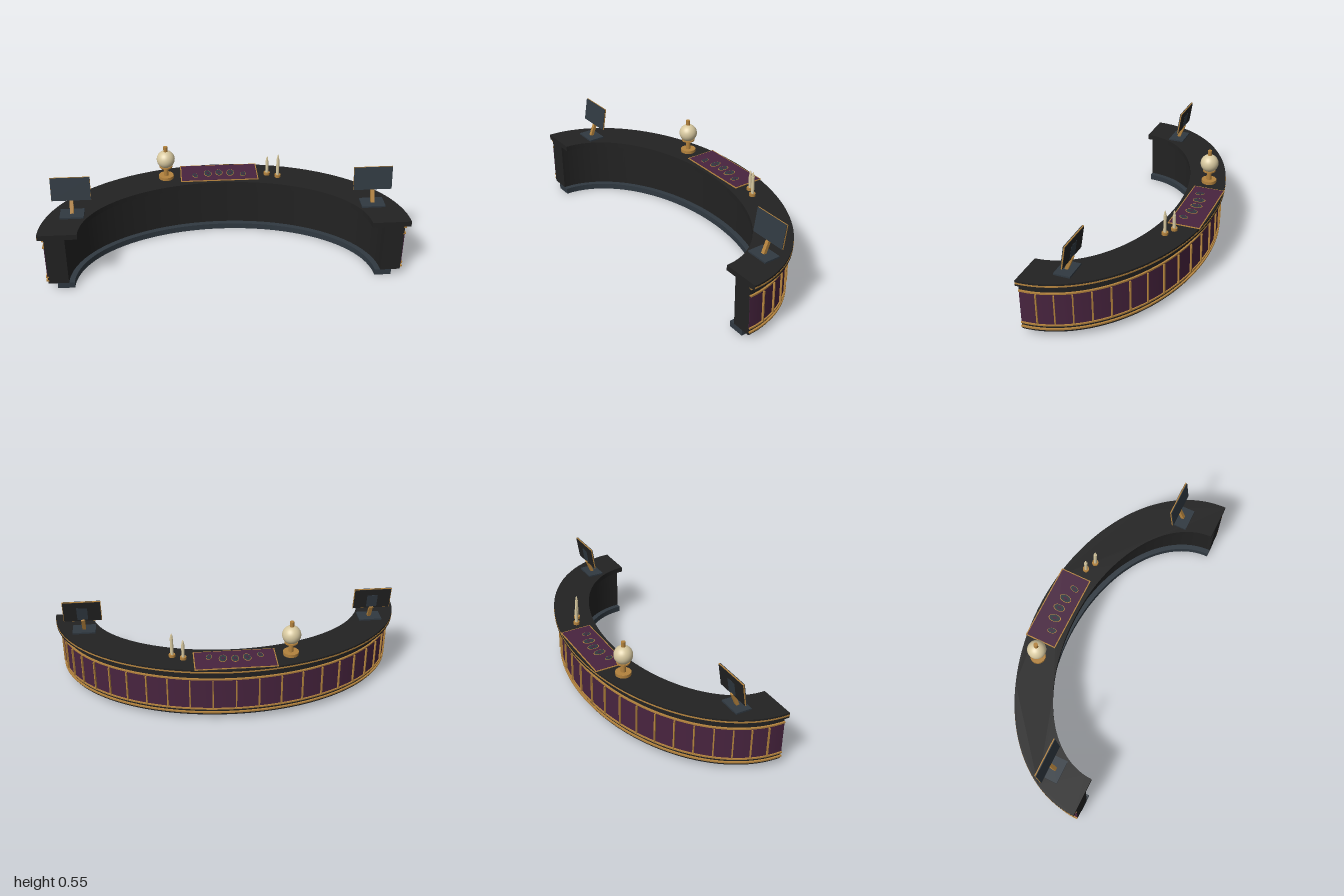
import * as THREE from 'three';
import { toCreasedNormals } from 'three/addons/utils/BufferGeometryUtils.js';

const RX = 1, RZ = 0.7, Z0 = 0.35; // half ellipse the whole desk follows

function mat(name, color) {
  const m = new THREE.MeshStandardMaterial({ color });
  m.name = name;
  return m;
}

export function createModel() {
  const black = mat('black lacquer', 0x222222);
  const slate = mat('slate', 0x303941);
  const purple = mat('purple', 0x48243f);
  const gold = mat('gold', 0xb3823d);
  const cream = mat('cream', 0xd8c9a0);

  const root = new THREE.Group();
  root.name = 'curvedReceptionDesk';

  function add(parent, name, geo, material, x = 0, y = 0, z = 0) {
    const m = new THREE.Mesh(geo, material);
    m.name = name;
    m.position.set(x, y, z);
    parent.add(m);
    return m;
  }
  function group(name, x, y, z) {
    const g = new THREE.Group();
    g.name = name;
    g.position.set(x, y, z);
    root.add(g);
    return g;
  }
  const box = (w, h, d) => new THREE.BoxGeometry(w, h, d);
  const cyl = (r, h, n = 32, top = r) => new THREE.CylinderGeometry(top, r, h, n);

  // Half-elliptical band between two insets from the outer edge
  function band(name, material, outer, inner, y0, y1) {
    const s = new THREE.Shape();
    s.absellipse(0, 0, RX - outer, RZ - outer, 0, Math.PI, false, 0);
    s.absellipse(0, 0, RX - inner, RZ - inner, Math.PI, 0, true, 0);
    let g = new THREE.ExtrudeGeometry(s, { depth: y1 - y0, bevelEnabled: false, curveSegments: 72 });
    g.rotateX(-Math.PI / 2);
    g = toCreasedNormals(g, 0.5);
    return add(root, name, g, material, 0, y0, Z0);
  }

  // Desk body
  band('plinth', slate, 0.083, 0.175, 0, 0.034);
  band('deskBody', black, 0.035, 0.145, 0.034, 0.314);
  band('counterTop', black, 0.001, 0.213, 0.314, 0.344);
  band('frontPanel', purple, 0.032, 0.036, 0.077, 0.264);

  // Gold mouldings
  band('counterEdgeTrim', gold, 0, 0.004, 0.325, 0.334);
  [0.309, 0.268, 0.077, 0.053].forEach((y) =>
    band('moulding', gold, 0.025, 0.04, y - 0.004, y + 0.004));

  // Upright strips dividing the panel
  for (let i = 1; i < 24; i++) {
    const t = (i / 24) * Math.PI;
    const a = RX - 0.028, b = RZ - 0.028;
    const strip = add(root, 'panelStrip', box(0.007, 0.178, 0.012), gold,
      a * Math.cos(t), 0.168, Z0 - b * Math.sin(t));
    strip.rotation.y = Math.atan2(Math.cos(t) / a, -Math.sin(t) / b);
  }

  // Monitors at both ends
  for (const side of [-1, 1]) {
    const g = group(side > 0 ? 'leftMonitor' : 'rightMonitor', side * 0.825, 0, 0);
    add(g, 'monitorFoot', box(0.13, 0.009, 0.092), slate, 0, 0.3495, 0.151);
    const stand = add(g, 'monitorStand', box(0.02, 0.085, 0.018), gold, 0, 0.392, 0.136);
    stand.rotation.x = -0.4;
    const head = new THREE.Group();
    head.name = 'monitorHead';
    head.position.set(0, 0.486, 0.116);
    head.rotation.x = -0.17;
    g.add(head);
    add(head, 'monitorFrame', box(0.214, 0.132, 0.006), gold, 0, 0, -0.001);
    add(head, 'monitorScreen', box(0.212, 0.13, 0.004), slate, 0, 0, 0.004);
    add(head, 'monitorBack', box(0.208, 0.126, 0.003), black, 0, 0, -0.005);
    add(head, 'monitorBackPlate', box(0.06, 0.08, 0.002), slate, 0, -0.015, -0.0065);
  }

  // Globe lamp
  const lamp = group('globeLamp', -0.308, 0.344, -0.216);
  add(lamp, 'lampBase', cyl(0.043, 0.018), gold, 0, 0.009, 0);
  add(lamp, 'lampStem', cyl(0.014, 0.056, 24), gold, 0, 0.045, 0);
  add(lamp, 'lampCollar', cyl(0.037, 0.008), gold, 0, 0.076, 0);
  add(lamp, 'lampGlobe', new THREE.SphereGeometry(0.052, 32, 20), cream, 0, 0.122, 0);
  add(lamp, 'lampCap', cyl(0.012, 0.032, 24), gold, 0, 0.186, 0);

  // Candles
  for (const [x, z, h] of [[0.279, -0.212, 0.077], [0.338, -0.181, 0.102]]) {
    const g = group('candle', x, 0.344, z);
    add(g, 'candleHolder', cyl(0.018, 0.015, 20), gold, 0, 0.0075, 0);
    add(g, 'candleStick', cyl(0.009, h, 20), cream, 0, 0.015 + h / 2, 0);
    const profile = [[0.006, 0], [0.0065, 0.008], [0.005, 0.017], [0.002, 0.025], [0, 0.028]];
    add(g, 'candleTip', new THREE.LatheGeometry(profile.map((p) => new THREE.Vector2(...p)), 16),
      cream, 0, 0.015 + h, 0);
  }

  // Inlaid mat with a gold border
  const inlay = group('counterMat', 0, 0.344, -0.246);
  add(inlay, 'matBorder', box(0.45, 0.004, 0.182), gold, 0, 0.002, 0);
  add(inlay, 'matCloth', box(0.438, 0.005, 0.17), purple, 0, 0.0025, 0);

  // Fan of small oval ornaments on the mat
  [[-0.14, 0.03, 0.026], [-0.066, 0.01, 0.036], [0, 0.004, 0.034], [0.066, 0.01, 0.036], [0.14, 0.03, 0.026]]
    .forEach(([x, z, r]) => {
      const g = new THREE.Group();
      g.name = 'matOrnament';
      g.position.set(x, 0.005, z);
      g.rotation.y = -x * 2;
      g.scale.set(0.62, 1, 1);
      inlay.add(g);
      add(g, 'ornamentRim', cyl(r, 0.0015, 24), gold, 0, 0.0007, 0);
      add(g, 'ornamentDisc', cyl(r * 0.88, 0.0025, 24), slate, 0, 0.0012, 0);
      add(g, 'ornamentCentre', cyl(r * 0.35, 0.0035, 16), purple, 0, 0.0017, 0);
    });

  return root;
}
